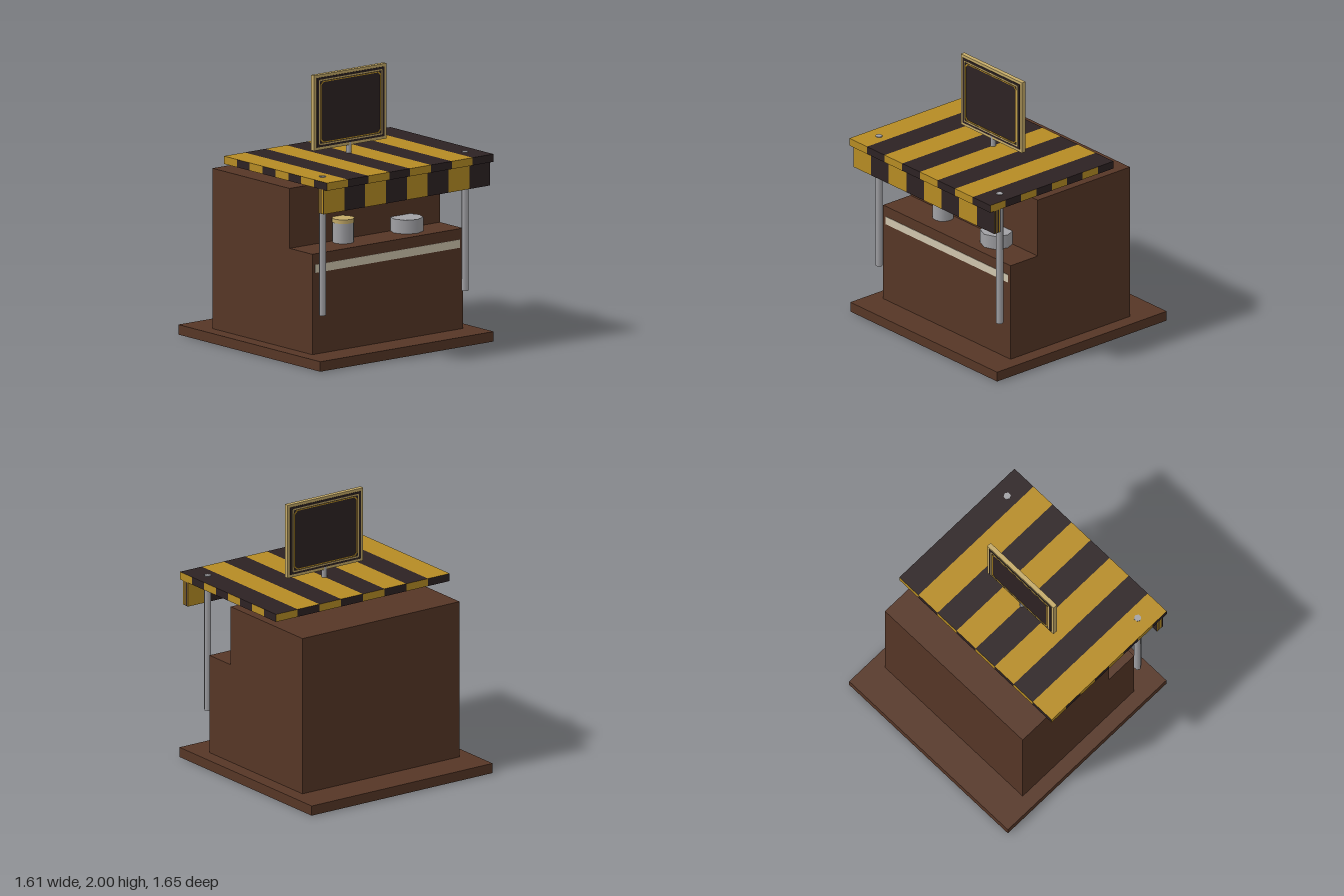
import * as THREE from 'three';

const mat = (name, color, extra = {}) => {
  const m = new THREE.MeshStandardMaterial({ color, ...extra });
  m.name = name;
  return m;
};

export function createModel() {
  const wood = mat('brown wood', 0x563626);
  const gold = mat('gold', 0xb68c24);
  const dark = mat('dark brown', 0x2d2223);
  const tan = mat('tan', 0xc4aa68);
  const cream = mat('cream', 0xd0c6ae);
  const metal = mat('grey metal', 0xa2a2a6);

  const stall = new THREE.Group();
  stall.name = 'marketStall';

  const add = (name, geometry, material, x = 0, y = 0, z = 0) => {
    const mesh = new THREE.Mesh(geometry, material);
    mesh.name = name;
    mesh.position.set(x, y, z);
    stall.add(mesh);
    return mesh;
  };

  // Box given by its limits on each axis
  const box = (name, material, [x0, x1], [y0, y1], [z0, z1]) =>
    add(name, new THREE.BoxGeometry(x1 - x0, y1 - y0, z1 - z0), material,
      (x0 + x1) / 2, (y0 + y1) / 2, (z0 + z1) / 2);

  // Upright cylinder given by its bottom and top
  const post = (name, material, r, x, y0, y1, z, sides) =>
    add(name, new THREE.CylinderGeometry(r, r, y1 - y0, sides), material, x, (y0 + y1) / 2, z);

  // Box whose every face carries eight alternating stripes across its width
  const stripedBox = (name, xs, ys, zs) => {
    const mesh = box(name, [gold, dark], xs, ys, zs);
    const geo = new THREE.BoxGeometry(xs[1] - xs[0], ys[1] - ys[0], zs[1] - zs[0], 8, 1, 8).toNonIndexed();
    geo.clearGroups();
    const uv = geo.attributes.uv;
    for (let i = 0; i < uv.count; i += 3) {
      const u = (uv.getX(i) + uv.getX(i + 1) + uv.getX(i + 2)) / 3;
      geo.addGroup(i, 3, Math.floor(u * 8) % 2);
    }
    mesh.geometry = geo;
  };

  // Base, counter and rear cabinet
  box('base', wood, [-0.803, 0.803], [0, 0.073], [-0.823, 0.788]);
  box('counter', wood, [-0.697, 0.697], [0.073, 0.81], [0.31, 0.568]);
  box('rearCabinet', wood, [-0.697, 0.697], [0.073, 1.25], [-0.566, 0.31]);
  box('counterTrim', cream, [-0.67, 0.67], [0.67, 0.73], [0.566, 0.571]);

  // Striped awning and its hanging front
  stripedBox('awning', [-0.771, 0.771], [1.33, 1.387], [-0.345, 0.825]);
  stripedBox('valance', [-0.771, 0.771], [1.15, 1.33], [0.727, 0.786]);

  // Awning posts
  for (const s of [-1, 1]) {
    const p = post(s > 0 ? 'leftPost' : 'rightPost', metal, 0.027, s * 0.66, 0.37, 1.392, 0.64, 6);
    p.rotation.y = Math.PI / 6;
  }

  // Goods on the counter
  post('jar', metal, 0.077, -0.257, 0.81, 0.957, 0.38, 12);
  post('jarLid', tan, 0.082, -0.257, 0.957, 0.987, 0.38, 12);
  post('bowl', metal, 0.12, 0.33, 0.81, 0.912, 0.38, 8);

  // Sign on its pole
  const signZ = 0.128, signY = 1.724;
  post('signPole', metal, 0.02, 0, 1.25, 1.47, signZ, 8);
  box('signFrame', tan, [-0.335, 0.335], [1.447, 2], [signZ - 0.017, signZ + 0.017]);
  box('signPanel', dark, [-0.314, 0.314], [1.468, 1.979], [signZ - 0.021, signZ + 0.021]);

  // Rectangle outline with cut corners
  const outline = (Path, w, h, c) => new Path([
    [w, h - c], [w - c, h], [c - w, h], [-w, h - c],
    [-w, c - h], [c - w, -h], [w - c, -h], [w, c - h],
  ].map(([x, y]) => new THREE.Vector2(x, y)));

  // Two inlaid border lines on each face of the sign
  const border = (name, material, w, h, line, cut) => {
    const shape = outline(THREE.Shape, w, h, cut);
    shape.holes.push(outline(THREE.Path, w - line, h - line, cut));
    const geo = new THREE.ExtrudeGeometry(shape, { depth: 0.003, bevelEnabled: false });
    add(name + 'Front', geo, material, 0, signY, signZ + 0.0205);
    add(name + 'Back', geo, material, 0, signY, signZ - 0.0235);
  };
  border('outerBorder', tan, 0.294, 0.24, 0.009, 0.006);
  border('innerBorder', gold, 0.28, 0.226, 0.007, 0.022);

  return stall;
}
